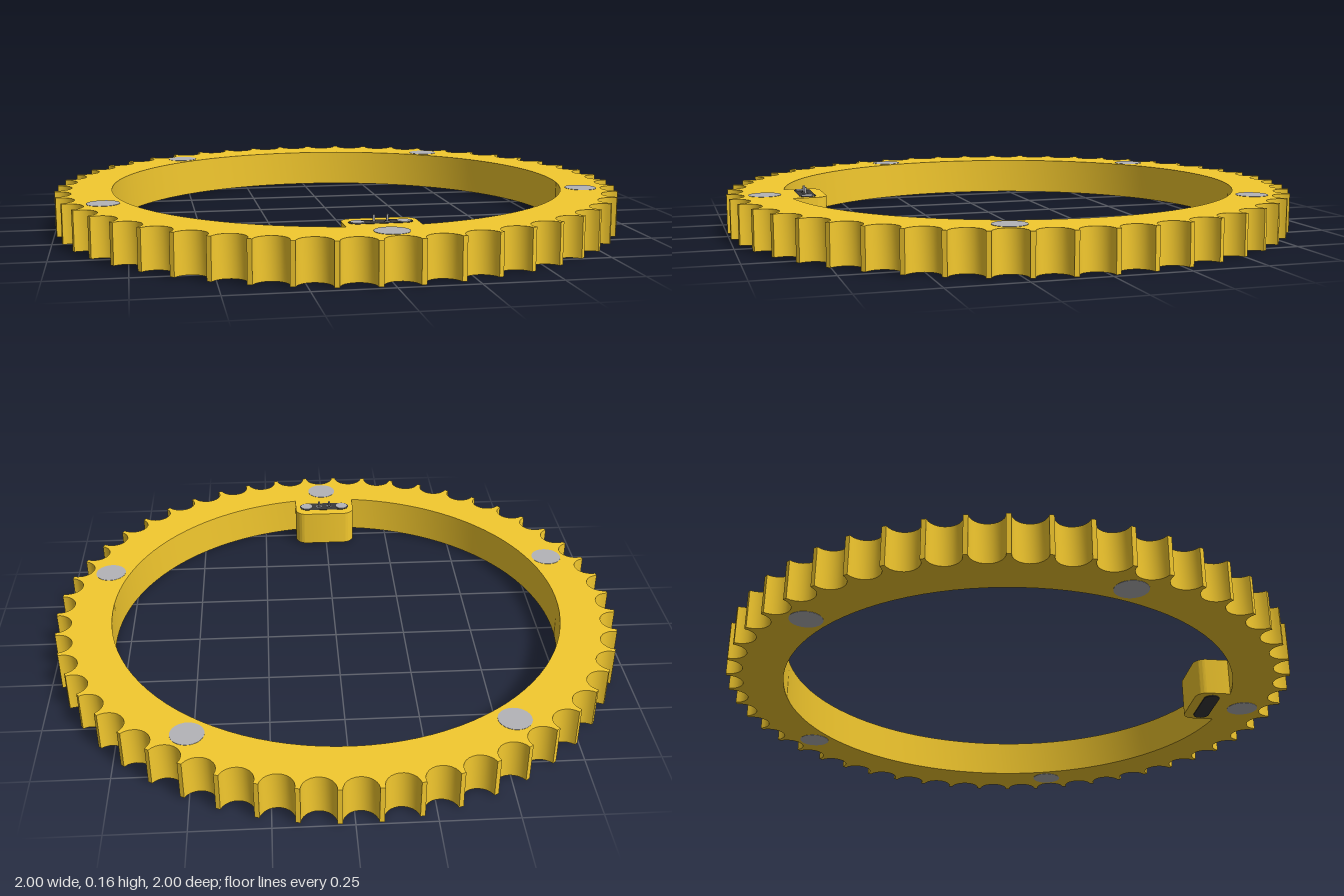
import * as THREE from 'three';
import { toCreasedNormals } from 'three/addons/utils/BufferGeometryUtils.js';

const BASE = 0.004, TOP = 0.139;       // underside and upper face of the ring
const PHASE = -0.016;                  // small turn of notches and magnets
const CX = 0.006, CZ = 0.738;          // connector centre

const paint = (color) => new THREE.MeshStandardMaterial({ color });

// Extrude a flat outline upwards; outline +y points to the back (-z)
function slab(shape, y0, y1, curveSegments) {
  const geo = new THREE.ExtrudeGeometry(shape, { depth: y1 - y0, bevelEnabled: false, curveSegments });
  geo.rotateX(-Math.PI / 2);
  geo.translate(0, y0, 0);
  return toCreasedNormals(geo, 0.6);
}

// Outer edge with round notches cut around it
function notchedOutline(count, centreR, notchR, steps) {
  const pts = [];
  for (let i = 0; i < count; i++) {
    const t = PHASE - (i / count) * Math.PI * 2;
    for (let k = 0; k <= steps; k++) {
      const a = (k / steps) * Math.PI;
      const side = notchR * Math.cos(a), r = centreR - notchR * Math.sin(a);
      pts.push(new THREE.Vector2(
        r * Math.sin(t) + side * Math.cos(t),
        r * Math.cos(t) - side * Math.sin(t)));
    }
  }
  return new THREE.Shape(pts);
}

// Round opening, interrupted by the rounded connector block
function opening(R) {
  const x0 = -0.112, x1 = 0.123, edge = -0.675, c = 0.042;
  const path = new THREE.Path();
  const right = -Math.acos(x1 / R);
  const left = 2 * Math.PI - Math.acos(x0 / R);
  path.absarc(0, 0, R, right, left, false);
  path.lineTo(x0, edge - c);
  path.absarc(x0 + c, edge - c, c, Math.PI, Math.PI / 2, true);
  path.lineTo(x1 - c, edge);
  path.absarc(x1 - c, edge - c, c, Math.PI / 2, 0, true);
  path.closePath();
  return path;
}

export function createModel() {
  const group = new THREE.Group();
  const yellow = paint(0xf4c92e), grey = paint(0xb4b4b8), dark = paint(0x3a3a3c);

  function add(name, geo, mat) {
    const mesh = new THREE.Mesh(geo, mat);
    mesh.name = name;
    group.add(mesh);
    return mesh;
  }

  function post(name, x, z, r, y0, y1, mat, sides = 32) {
    const mesh = add(name, new THREE.CylinderGeometry(r, r, y1 - y0, sides), mat);
    mesh.position.set(x, (y0 + y1) / 2, z);
  }

  // Ring body with grip notches and connector block
  const body = notchedOutline(50, 0.9985, 0.055, 12);
  body.holes.push(opening(0.803));
  add('notchedRing', slab(body, BASE, TOP, 48), yellow);

  // Five round magnets, flush with both faces
  for (let i = 0; i < 5; i++) {
    const a = i * Math.PI * 2 / 5 - PHASE * 0.8;
    post('magnet', 0.875 * Math.sin(a), 0.875 * Math.cos(a), 0.055, BASE - 0.001, TOP + 0.001, grey);
  }

  // Capsule-shaped connector passing through the block
  const half = 0.072, r = 0.028;
  const capsule = new THREE.Shape();
  capsule.absarc(CX + half, -CZ, r, -Math.PI / 2, Math.PI / 2, false);
  capsule.absarc(CX - half, -CZ, r, Math.PI / 2, Math.PI * 1.5, false);
  add('connectorBody', slab(capsule, 0, TOP + 0.001, 16), dark);

  // Connector end magnets, contact rings and upright pins
  for (const s of [-1, 1]) {
    post('connectorMagnet', CX + s * half, CZ, 0.023, 0.001, TOP + 0.003, grey, 24);
    const x = CX + s * 0.021;
    post('contactRing', x, CZ, 0.011, 0.001, TOP + 0.002, grey, 16);
    post('contactCore', x, CZ, 0.007, 0.001, TOP + 0.0035, dark, 16);
    post('contactPin', x, CZ, 0.004, TOP, 0.162, grey, 12);
  }

  return group;
}
